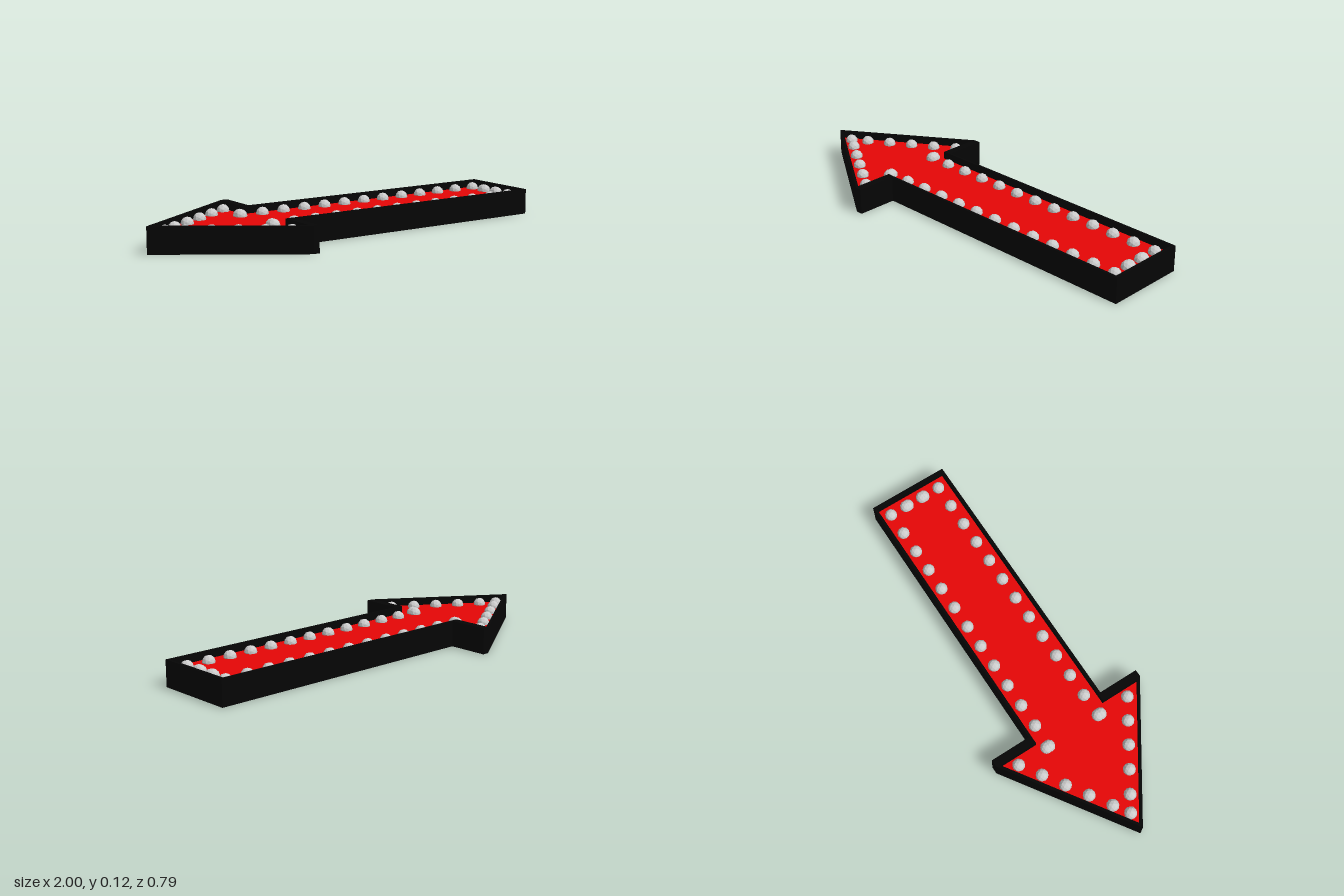
import * as THREE from 'three';

const HEIGHT = 0.124;
const MIDDLE = HEIGHT / 2;
const PANEL_THICKNESS = 0.052;
const BULB_OFFSET = 0.03; // bulb centres above and below the middle

// Half outlines (x, z) from the arrow tip to the tail, mirrored across z = 0
const OUTER = [[-1, 0], [-0.41, 0.395], [-0.377, 0.395], [-0.377, 0.197], [1, 0.197]];
const INNER = [[-0.977, 0], [-0.417, 0.375], [-0.417, 0.184], [0.984, 0.184]];

function outline(half) {
  const mirrored = half.slice(1).reverse().map(([x, z]) => [x, -z]);
  return [...half, ...mirrored].map(([x, z]) => new THREE.Vector2(x, z));
}

// Extrude a flat shape vertically, centred on the middle height
function slab(shape, depth) {
  const geometry = new THREE.ExtrudeGeometry(shape, { depth, bevelEnabled: false });
  geometry.rotateX(-Math.PI / 2);
  geometry.translate(0, MIDDLE - depth / 2, 0);
  return geometry;
}

export function createModel() {
  const model = new THREE.Group();
  model.name = 'arrowSign';
  const black = new THREE.MeshStandardMaterial({ color: 0x050505 });
  const red = new THREE.MeshStandardMaterial({ color: 0xe60606 });
  const grey = new THREE.MeshStandardMaterial({ color: 0xcccccc, flatShading: true });

  // Rim wall; the hole runs opposite to the outline so its faces look inward
  const rimShape = new THREE.Shape(outline(OUTER));
  rimShape.holes.push(new THREE.Path(outline(INNER).reverse()));
  const rim = new THREE.Mesh(slab(rimShape, HEIGHT), black);
  rim.name = 'rim';
  model.add(rim);

  // Panel recessed on both faces of the sign
  const panel = new THREE.Mesh(slab(new THREE.Shape(outline(INNER)), PANEL_THICKNESS), red);
  panel.name = 'panel';
  model.add(panel);

  // Bulbs on the upper and lower faces
  const bulbGeometry = new THREE.IcosahedronGeometry(0.03, 1);
  for (const face of [1, -1]) {
    const bulbs = new THREE.Group();
    bulbs.name = face > 0 ? 'upperBulbs' : 'lowerBulbs';
    bulbs.position.y = MIDDLE + face * BULB_OFFSET;
    model.add(bulbs);
    const addBulb = (x, z) => {
      const bulb = new THREE.Mesh(bulbGeometry, grey);
      bulb.name = 'bulb';
      bulb.position.set(x, 0, z - 0.002);
      bulbs.add(bulb);
    };

    addBulb(-0.912, 0);
    for (const side of [-1, 1]) {
      // Along the shaft
      for (let i = 0; i < 13; i++) addBulb(-0.454 + i * 0.1158, side * 0.135);
      // Along the slanted edge of the head
      for (let i = 0; i < 5; i++) addBulb(-0.84 + i * 0.0965, side * (0.047 + i * 0.063));
      // Overlapping bulbs at the neck and the tail
      addBulb(-0.454, side * 0.148);
      addBulb(0.936, side * 0.04);
      addBulb(0.936, side * 0.05);
    }
  }
  return model;
}
